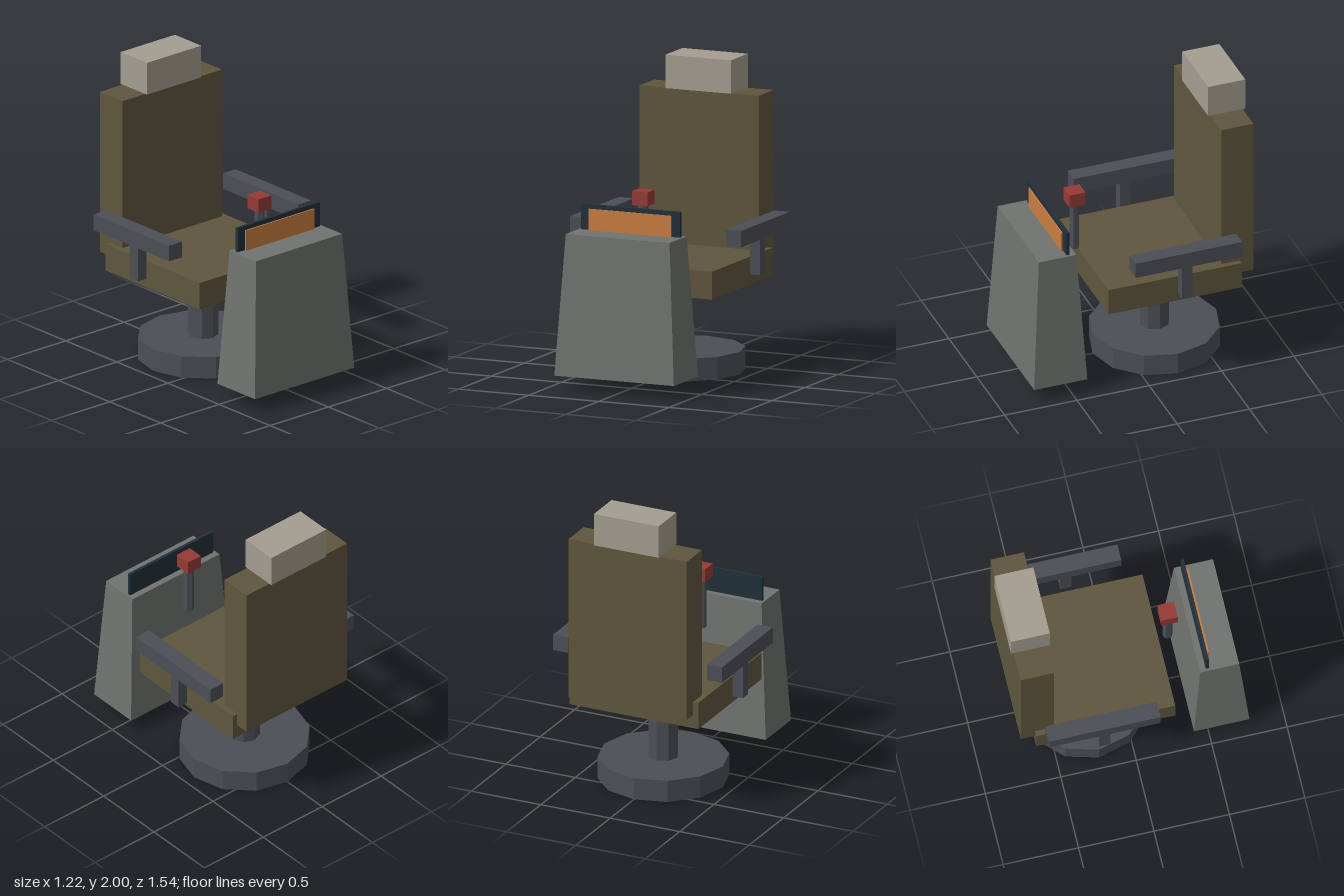
import * as THREE from 'three';

const mat = (name, color) => {
  const m = new THREE.MeshStandardMaterial({ color, flatShading: true });
  m.name = name;
  return m;
};

export function createModel() {
  const group = new THREE.Group();
  const olive = mat('olive upholstery', 0x5f563d);
  const pale = mat('pale cushion', 0xa49e91);
  const metal = mat('dark metal', 0x4b4f56);
  const grey = mat('console grey', 0x70736f);
  const navy = mat('screen frame', 0x22303a);
  const orange = mat('orange display', 0xc87d40);
  const red = mat('red knob', 0x953a35);

  const add = (name, geometry, material, x, y, z) => {
    const mesh = new THREE.Mesh(geometry, material);
    mesh.name = name;
    mesh.position.set(x, y, z);
    group.add(mesh);
    return mesh;
  };
  // Box from its extents along each axis
  const box = (name, material, [x0, x1], [y0, y1], [z0, z1]) =>
    add(name, new THREE.BoxGeometry(x1 - x0, y1 - y0, z1 - z0), material,
      (x0 + x1) / 2, (y0 + y1) / 2, (z0 + z1) / 2);
  const post = (name, material, r, y0, y1, z, sides) =>
    add(name, new THREE.CylinderGeometry(r, r, y1 - y0, sides), material, 0, (y0 + y1) / 2, z);

  // Pedestal
  post('base', metal, 0.427, 0, 0.148, -0.228, 12);
  post('column', metal, 0.1, 0.148, 0.58, -0.228, 8);

  // Seat
  box('seat', olive, [-0.463, 0.463], [0.58, 0.763], [-0.655, 0.268]);
  box('backrest', olive, [-0.426, 0.426], [0.672, 1.78], [-0.748, -0.527]);
  box('headrest', pale, [-0.233, 0.233], [1.78, 2], [-0.767, -0.51]);

  // Armrests, mirrored
  for (const side of [-1, 1]) {
    const span = (a, b) => (side > 0 ? [a, b] : [-b, -a]);
    box('armrest', metal, span(0.5, 0.609), [0.912, 1.02], [-0.602, 0.136]);
    box('armrestPost', metal, span(0.518, 0.591), [0.672, 0.912], [-0.265, -0.191]);
  }

  // Console: a box narrowed towards its top
  const consoleGeo = new THREE.BoxGeometry(0.852, 0.925, 0.368);
  const p = consoleGeo.attributes.position;
  for (let i = 0; i < p.count; i++) {
    if (p.getY(i) > 0) {
      p.setX(i, p.getX(i) * 0.868);
      p.setZ(i, p.getZ(i) * 0.705);
    }
  }
  consoleGeo.computeVertexNormals();
  add('console', consoleGeo, grey, 0, 0.5575, 0.584);

  // Screen standing on the console
  box('screenFrame', navy, [-0.353, 0.353], [1.0, 1.187], [0.496, 0.516]);
  box('screenDisplay', orange, [-0.295, 0.295], [1.0, 1.16], [0.521, 0.53]);

  // Control lever
  post('leverStem', metal, 0.033, 0.838, 1.18, 0.326, 6);
  box('leverKnob', red, [-0.055, 0.055], [1.178, 1.27], [0.27, 0.38]);

  return group;
}
